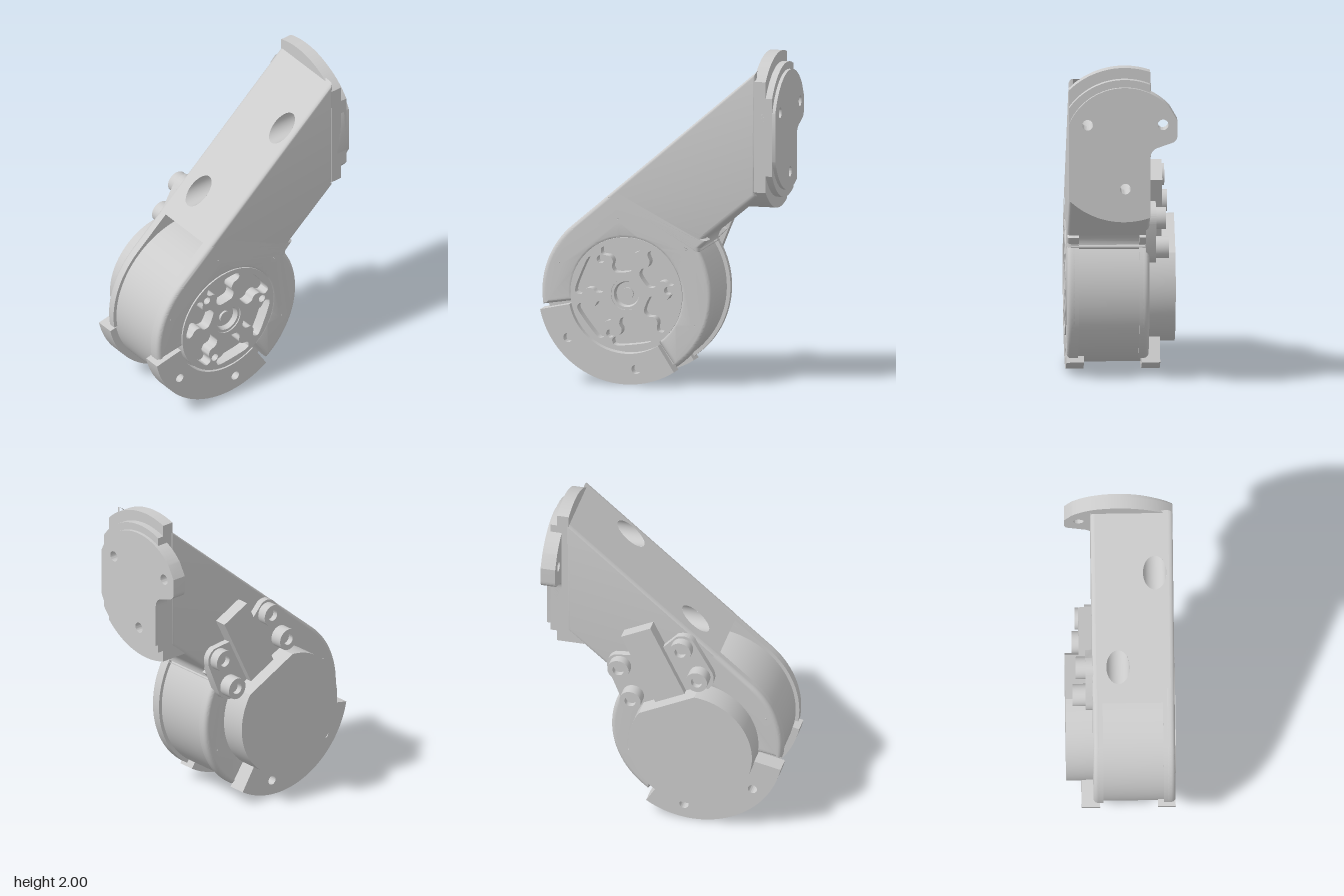
import * as THREE from 'three';
import { toCreasedNormals } from 'three/addons/utils/BufferGeometryUtils.js';

const CX = -0.2, CY = 0.545;                 // hub centre
const SLOPE = 0.709;                         // angle of the arm's top edge
const C = Math.cos(SLOPE), S = Math.sin(SLOPE);
const TX = CX - 0.525 * S, TY = CY + 0.525 * C;  // where the top edge leaves the hub
const topY = x => TY + (x - TX) * S / C;
const topX = y => TX + (y - TY) * C / S;
const rad = d => d * Math.PI / 180;

export function createModel() {
  const model = new THREE.Group();
  const mat = new THREE.MeshStandardMaterial({ color: 0xcccccc });
  const twoSided = new THREE.MeshStandardMaterial({ color: 0xcccccc, side: THREE.DoubleSide });

  const add = (name, geo, parent = model, m = mat) => {
    const mesh = new THREE.Mesh(geo, m);
    mesh.name = name;
    parent.add(mesh);
    return mesh;
  };
  const circle = (x, y, r) => new THREE.Path().absarc(x, y, r, 0, Math.PI * 2, true);
  const extrude = (shape, z0, z1, bevel = 0) => {
    const geo = new THREE.ExtrudeGeometry(shape, {
      depth: z1 - z0 - 2 * bevel, curveSegments: 40, bevelEnabled: bevel > 0,
      bevelSize: bevel, bevelThickness: bevel, bevelOffset: -bevel, bevelSegments: 4,
    });
    return geo.translate(0, 0, z0 + bevel);
  };
  const solid = (shape, z0, z1, bevel) => toCreasedNormals(extrude(shape, z0, z1, bevel), 0.5);
  const lathe = pts => toCreasedNormals(
    new THREE.LatheGeometry(pts.map(p => new THREE.Vector2(...p)), 32).toNonIndexed(), 0.5);

  const screwAngles = [0, 1, 2, 3, 4, 5].map(i => rad(37.5 + 60 * i));
  const onHub = (a, r) => [CX + r * Math.cos(a), CY + r * Math.sin(a)];

  // Housing plates around the drum, open at the bottom for the clamps
  const plate = holes => {
    const s = new THREE.Shape();
    s.absarc(CX, CY, 0.525, rad(189), Math.PI / 2 + SLOPE, true);
    s.lineTo(-0.26, topY(-0.26));
    s.lineTo(0.3, 0.89);
    s.absarc(CX, CY, 0.525, rad(33), rad(-55), true);
    s.absarc(CX, CY, 0.333, rad(-55), rad(189), false);
    if (holes) for (const a of screwAngles) {
      const deg = a * 180 / Math.PI;
      if (deg < 180 || deg > 320) s.holes.push(circle(...onHub(a, 0.455), 0.004));
    }
    return s;
  };
  add('frontPlate', solid(plate(true), 0.25, 0.32, 0.025));
  add('frontPlateRim', solid(plate(false), 0.25, 0.295));
  add('backPlate', solid(plate(true), -0.17, -0.11, 0.025));
  add('backPlateRim', solid(plate(false), -0.145, -0.11));

  // Clamp segments at the bottom of the hub
  const clamp = new THREE.Shape();
  clamp.absarc(CX, CY, 0.545, rad(192), rad(302.5), false);
  clamp.absarc(CX, CY, 0.36, rad(302.5), rad(192), true);
  for (const i of [3, 4]) clamp.holes.push(circle(...onHub(screwAngles[i], 0.455), 0.028));
  add('frontClamp', solid(clamp, 0.215, 0.32));
  add('backClamp', solid(clamp, -0.24, -0.13));

  // Motor drum
  add('drum', new THREE.CylinderGeometry(0.503, 0.503, 0.38, 80)
    .rotateX(Math.PI / 2).translate(CX, CY, 0.065));

  // Arm: a shell without its sloped top and its end wall, which other parts close
  const arm = new THREE.Shape();
  arm.moveTo(-0.33, topY(-0.33));
  arm.lineTo(0.22, 0.8);
  arm.lineTo(0.25, 0.82);
  arm.quadraticCurveTo(0.245, 0.875, 0.29, 0.91);
  arm.lineTo(0.6, 1.17);
  arm.lineTo(0.6, topY(0.6));
  arm.closePath();
  const shell = extrude(arm, -0.17, 0.32, 0.025), p = shell.attributes.position, kept = [];
  const tri = new THREE.Triangle(), n = new THREE.Vector3();
  for (let i = 0; i < p.count; i += 3) {
    tri.setFromAttributeAndIndices(p, i, i + 1, i + 2).getNormal(n);
    if (n.x > 0.999 || n.y * C - n.x * S > 0.999) continue;
    for (const v of [tri.a, tri.b, tri.c]) kept.push(v.x, v.y, v.z);
  }
  const armGeo = new THREE.BufferGeometry();
  armGeo.setAttribute('position', new THREE.Float32BufferAttribute(kept, 3));
  add('arm', toCreasedNormals(armGeo, 0.5));

  // Sloped top with two horizontal access bores that reach the flange
  const bores = [{ y: 1.275, z: -0.015 }, { y: 1.665, z: 0.21 }];
  const top = new THREE.Shape();
  const length = (0.6 + 0.33) / C;
  top.moveTo(0, -0.295).lineTo(length, -0.295).lineTo(length, 0.145).lineTo(0, 0.145);
  for (const b of bores) {
    top.holes.push(new THREE.Path().absellipse((topX(b.y) + 0.33) / C, -b.z,
      0.07 / S, 0.07, 0, Math.PI * 2, true));
    const tube = new THREE.CylinderGeometry(0.07, 0.07, 1, 40, 1, true)
      .rotateZ(-Math.PI / 2).translate(0, b.y, b.z);
    const q = tube.attributes.position;
    for (let i = 0; i < q.count; i++) q.setX(i, q.getX(i) < 0 ? topX(q.getY(i)) : 0.587);
    add('accessBore', tube, model, twoSided);
  }
  const topPanel = add('armTop', new THREE.ShapeGeometry(top, 40), model, twoSided);
  topPanel.applyMatrix4(new THREE.Matrix4().makeBasis(
    new THREE.Vector3(C, S, 0), new THREE.Vector3(0, 0, -1), new THREE.Vector3(-S, C, 0)
  ).setPosition(-0.33, topY(-0.33), 0));

  // End flange: stepped discs cut straight at front and back, drawn in (-z, y)
  const FU = 0.01, FY = 1.53;
  const right = r => Math.acos(0.155 / r), left = r => Math.PI - Math.acos(0.33 / r);
  const boltHoles = () => bores.map(b => circle(-b.z, b.y, 0.032));
  const disc = r => {
    const s = new THREE.Shape();
    s.absarc(FU, FY, r, right(r), left(r), false);
    s.absarc(FU, FY, r, -left(r), -right(r), false);
    s.holes.push(...boltHoles());
    return s;
  };
  const alongX = (name, shape, x0, x1) => add(name, solid(shape, x0, x1).rotateY(Math.PI / 2));
  alongX('flange', disc(0.47), 0.587, 0.66);
  alongX('flangeStep', disc(0.405), 0.65, 0.7);

  const foot = new THREE.Shape();
  foot.absarc(FU, FY, 0.47, -left(0.47), -right(0.47), false);
  foot.lineTo(0.165, 1.195);
  alongX('flangeFoot', foot, 0.49, 0.66);

  const ear = new THREE.Shape();
  ear.absarc(FU, FY, 0.36, -left(0.36), -right(0.36), false);
  ear.lineTo(0.165, 1.46);
  ear.quadraticCurveTo(0.165, 1.51, 0.21, 1.525);
  ear.lineTo(0.295, 1.555);
  ear.quadraticCurveTo(0.325, 1.565, 0.325, 1.6);
  ear.lineTo(0.325, 1.69);
  ear.absarc(FU, FY, 0.36, Math.acos(0.27 / 0.36), left(0.36), false);
  ear.holes.push(...boltHoles(), circle(0.24, 1.665, 0.032));
  alongX('mountingPlate', ear, 0.63, 0.72);

  // Rotor face with six flared pockets, three bolt holes and a hub bore
  const rotor = new THREE.Shape().absarc(CX, CY, 0.345, 0, Math.PI * 2, false);
  const half = [[0.135, 9], [0.15, 20], [0.185, 21], [0.215, 15], [0.25, 17], [0.275, 24], [0.3, 24], [0.315, 17]];
  for (const a of screwAngles) {
    const pts = [...half.map(([r, d]) => [r, d]), ...half.map(([r, d]) => [r, -d]).reverse()]
      .map(([r, d]) => new THREE.Vector2(...onHub(a + rad(d), r)));
    const curve = new THREE.SplineCurve([...pts, pts[0]]);
    rotor.holes.push(new THREE.Path(curve.getPoints(64).slice(0, -1)));
  }
  for (let i = 0; i < 3; i++) rotor.holes.push(circle(...onHub(rad(7.5 + 120 * i), 0.26), 0.024));
  rotor.holes.push(circle(CX, CY, 0.095));
  add('rotorFace', solid(rotor, 0.255, 0.325));
  const hub = lathe([[0, 0.3], [0.036, 0.3], [0.036, 0.285], [0.07, 0.285], [0.078, 0.318], [0.095, 0.318]].reverse());
  add('hubBore', hub.rotateX(Math.PI / 2).translate(CX, CY, 0), model, twoSided);

  // Back cover with a flat, and the connector bracket beside it
  const back = new THREE.Group();
  back.name = 'backAssembly';
  back.position.set(CX, CY, 0);
  back.rotation.z = rad(64);
  model.add(back);
  const flat = Math.acos(0.33 / 0.38);
  add('backCover', solid(new THREE.Shape().absarc(0, 0, 0.38, flat, 2 * Math.PI - flat, false), -0.33, -0.12), back);

  const bracket = new THREE.Shape();
  bracket.moveTo(0.3, -0.24);
  bracket.quadraticCurveTo(0.33, -0.31, 0.4, -0.31);
  bracket.lineTo(0.62, -0.295);
  bracket.quadraticCurveTo(0.69, -0.28, 0.69, -0.21);
  bracket.lineTo(0.65, -0.105);
  bracket.lineTo(0.65, 0.105);
  bracket.lineTo(0.69, 0.21);
  bracket.quadraticCurveTo(0.69, 0.28, 0.62, 0.295);
  bracket.lineTo(0.4, 0.31);
  bracket.quadraticCurveTo(0.33, 0.31, 0.3, 0.24);
  add('bracketPlate', solid(bracket, -0.21, -0.15), back);
  add('connectorBlock', new THREE.BoxGeometry(0.51, 0.2, 0.1).translate(0.555, 0, -0.198), back);
  for (const side of [-1, 1]) for (const [u, v, z] of [[0.4, 0.227, -0.288], [0.61, 0.212, -0.268]]) {
    const head = lathe([[0.066, 0.18], [0.066, -z], [0.034, -z], [0.034, -z - 0.035], [0, -z - 0.035]]);
    add('bracketScrew', head.rotateX(-Math.PI / 2).translate(u, side * v, 0), back);
  }
  return model;
}
